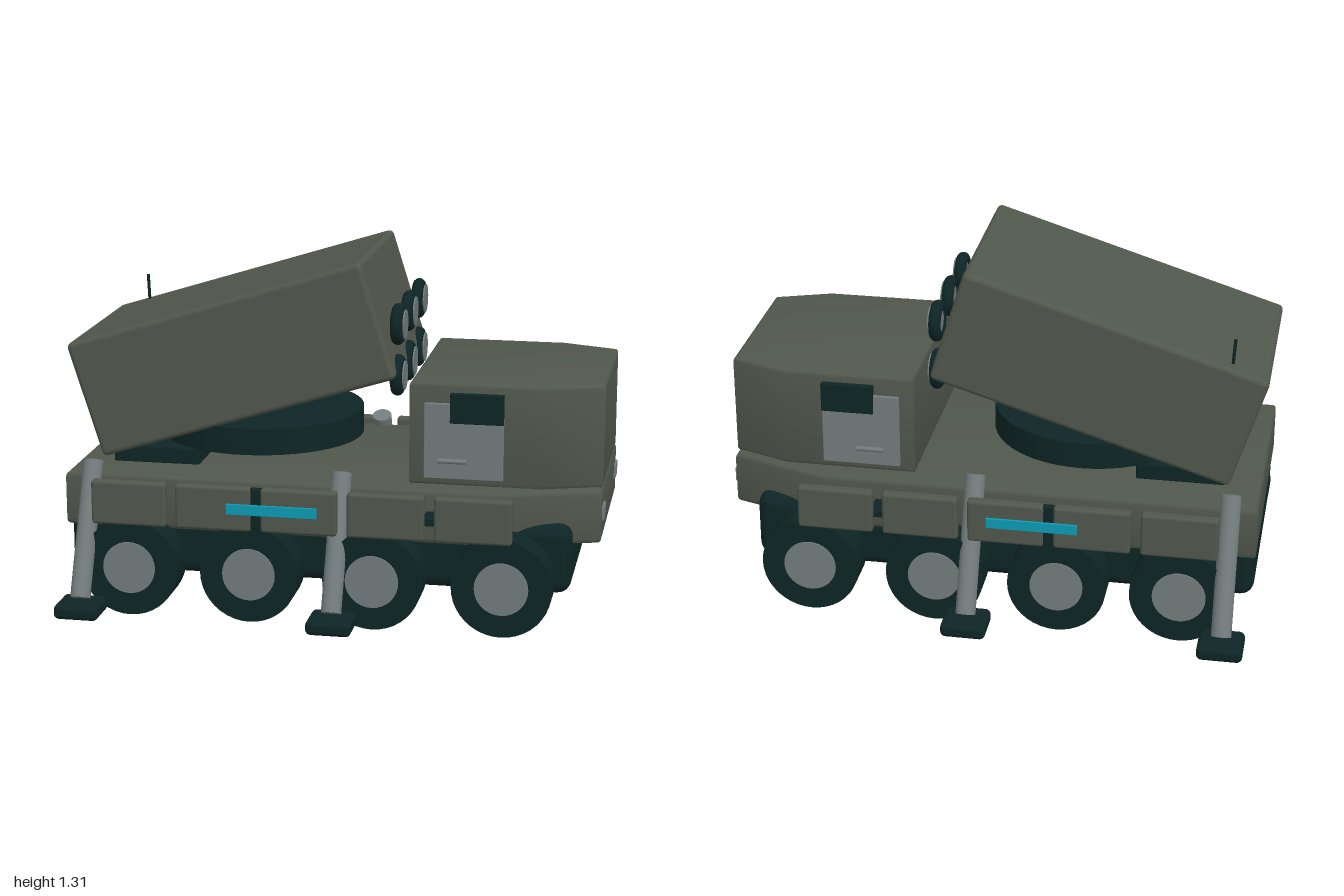
import * as THREE from 'three';
import { toCreasedNormals } from 'three/addons/utils/BufferGeometryUtils.js';
import { RoundedBoxGeometry } from 'three/addons/geometries/RoundedBoxGeometry.js';

export function createModel() {
  const root = new THREE.Group();
  root.name = 'launcherTruck';
  const paint = (name, color) => {
    const m = new THREE.MeshStandardMaterial({ color });
    m.name = name;
    return m;
  };
  const olive = paint('olive', 0x50574c);
  const dark = paint('darkGreen', 0x0e2525);
  const grey = paint('steelGrey', 0x727b7c);
  const cyan = paint('cyan', 0x0d9bb5);

  const add = (name, geo, mat, x = 0, y = 0, z = 0) => {
    const m = new THREE.Mesh(geo, mat);
    m.name = name;
    m.position.set(x, y, z);
    root.add(m);
    return m;
  };
  // Rounded box given by its extents
  const box = (name, mat, x0, x1, y0, y1, z0, z1, r = 0.01) =>
    add(name, new RoundedBoxGeometry(x1 - x0, y1 - y0, z1 - z0, 3, r), mat,
      (x0 + x1) / 2, (y0 + y1) / 2, (z0 + z1) / 2);
  // Bevelled slab from half a plan outline [x, z], mirrored across z
  const slab = (name, mat, half, y0, y1, b) => {
    const pts = [...half.map(([x, z]) => [x, -z]), ...half.slice().reverse()];
    const shape = new THREE.Shape(pts.map(([x, z]) => new THREE.Vector2(x, z)));
    const geo = new THREE.ExtrudeGeometry(shape, {
      depth: y1 - y0 - 2 * b, bevelThickness: b, bevelSize: b, bevelOffset: -b, bevelSegments: 3,
    });
    geo.rotateX(-Math.PI / 2);
    return add(name, toCreasedNormals(geo, 0.6), mat, 0, y0 + b, 0);
  };
  // Cylinder between two points
  const rod = (name, mat, a, b, r, sides = 20) => {
    const p = new THREE.Vector3(...a), q = new THREE.Vector3(...b);
    const m = add(name, new THREE.CylinderGeometry(r, r, p.distanceTo(q), sides), mat);
    m.position.copy(p).add(q).multiplyScalar(0.5);
    m.quaternion.setFromUnitVectors(new THREE.Vector3(0, 1, 0), q.sub(p).normalize());
    return m;
  };

  // Chassis, hull and cab
  box('chassis', dark, -0.98, 0.89, 0.13, 0.39, -0.435, 0.435, 0.05);
  slab('hull', olive, [[-0.985, 0.455], [0.62, 0.455], [0.99, 0.335]], 0.305, 0.51, 0.02);
  slab('cab', olive, [[0.29, 0.375], [0.78, 0.375], [0.99, 0.3]], 0.505, 0.89, 0.015);

  // Launcher box, turntable and rear support
  box('turntableSupport', dark, -0.85, -0.52, 0.505, 0.575, -0.28, 0.28);
  add('turntable', new THREE.CylinderGeometry(0.38, 0.38, 0.1, 48), dark, -0.33, 0.635, 0);
  const pod = add('launcherBox', new RoundedBoxGeometry(1.158, 0.445, 0.735, 3, 0.02), olive, -0.382, 0.93, 0);
  pod.rotation.z = 0.303;
  rod('antenna', dark, [-0.86, 0.99, -0.305], [-0.868, 1.11, -0.315], 0.006, 10);

  // Launch tube rims and caps
  for (const y of [0.88, 1.07]) {
    for (const z of [-0.24, 0, 0.24]) {
      const rim = add('tubeRim', new THREE.TorusGeometry(0.054, 0.023, 12, 32), dark, 0.226, y, z);
      rim.rotation.y = Math.PI / 2;
      rod('tubeCap', grey, [0.21, y, z], [0.254, y, z], 0.054, 32);
    }
  }

  for (const s of [1, -1]) {
    const sideBox = (name, mat, x0, x1, y0, y1, z0, z1, r) =>
      box(name, mat, x0, x1, y0, y1, Math.min(s * z0, s * z1), Math.max(s * z0, s * z1), r);

    // Wheels with hubs
    for (const x of [-0.72, -0.27, 0.185, 0.655]) {
      rod('wheel', dark, [x, 0.185, s * 0.425], [x, 0.185, s * 0.56], 0.182, 40);
      rod('hub', grey, [x, 0.185, s * 0.5], [x, 0.185, s * 0.565], 0.098, 32);
    }
    // Side skirt panels and their brackets
    for (let i = 0; i < 5; i++) {
      const x = -0.715 + i * 0.3165;
      sideBox('skirtPanel', olive, x - 0.14, x + 0.14, 0.35, 0.515, 0.532, 0.575, 0.012);
    }
    sideBox('skirtBracket', dark, -0.27, -0.21, 0.36, 0.51, 0.535, 0.565, 0.005);
    sideBox('skirtBracket', dark, 0.365, 0.425, 0.4, 0.43, 0.44, 0.545, 0.005);
    sideBox('sideStripe', cyan, -0.347, -0.013, 0.415, 0.455, 0.574, 0.583, 0.002);

    // Outrigger legs and foot pads
    for (const x of [-0.885, 0.052]) {
      rod('outriggerLeg', grey, [x, 0.55, s * 0.428], [x, 0.085, s * 0.642], 0.037, 24);
      sideBox('outriggerPad', dark, x - 0.083, x + 0.083, 0.02, 0.075, 0.565, 0.72, 0.02);
    }

    // Cab door, window, handle and headlight
    sideBox('door', grey, 0.345, 0.635, 0.535, 0.815, 0.365, 0.388, 0.003);
    sideBox('window', dark, 0.44, 0.635, 0.745, 0.855, 0.365, 0.397, 0.003);
    rod('doorHandle', grey, [0.4, 0.606, s * 0.403], [0.505, 0.606, s * 0.403], 0.009, 12);
    sideBox('headlight', grey, 0.98, 0.998, 0.388, 0.443, 0.245, 0.325, 0.004);
  }
  return root;
}
